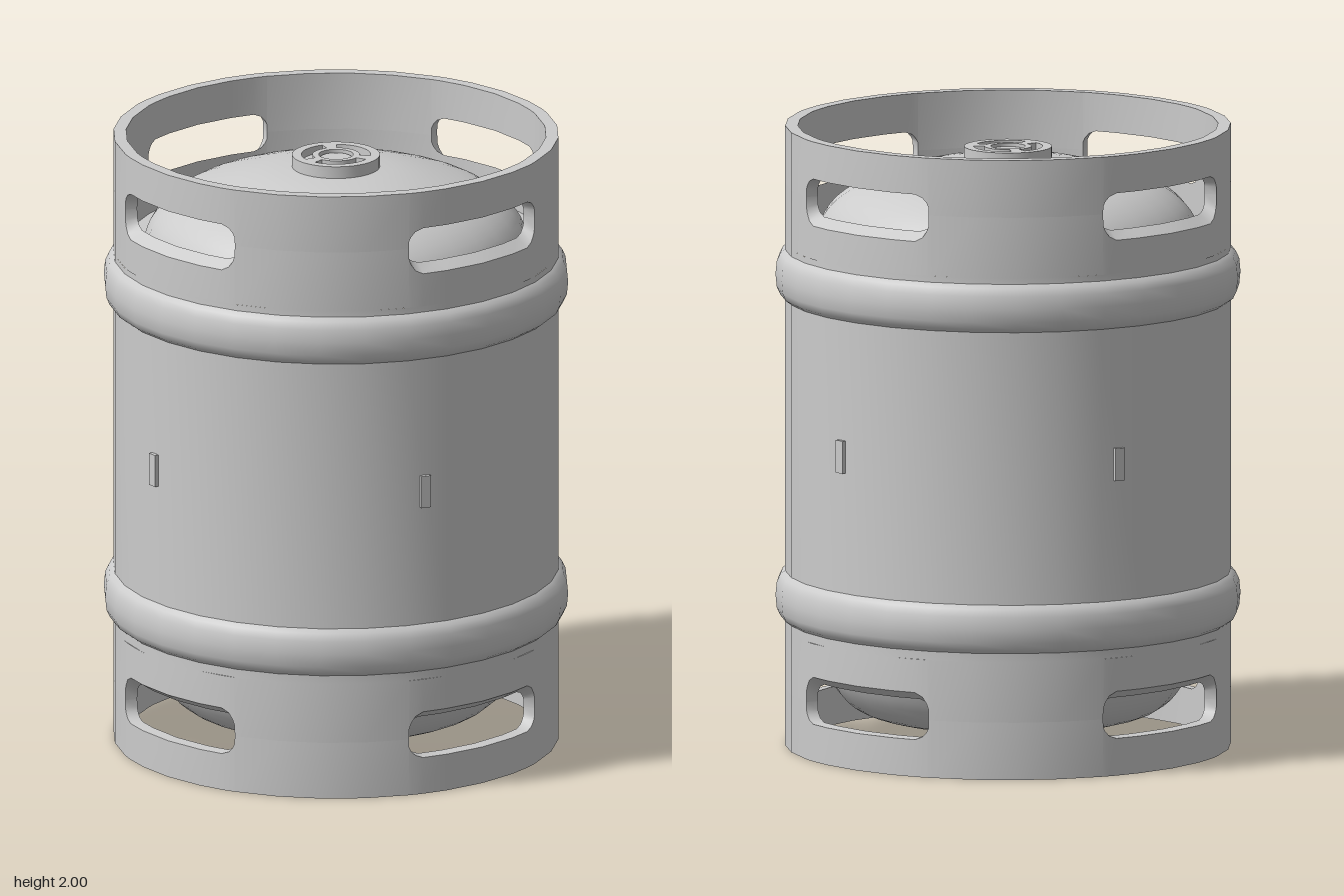
import * as THREE from 'three';
import { toCreasedNormals } from 'three/addons/utils/BufferGeometryUtils.js';

const SIDES = 32, R_OUT = 0.71, R_IN = 0.67;
const grey = new THREE.MeshStandardMaterial({ color: 0xcccccc });

function mesh(name, geometry, crease = 0.6) {
  const m = new THREE.Mesh(toCreasedNormals(geometry, crease), grey);
  m.name = name;
  return m;
}

const lathe = (points) =>
  new THREE.LatheGeometry(points.map(([r, y]) => new THREE.Vector2(r, y)), SIDES);

const smooth = (points, n) =>
  new THREE.SplineCurve(points.map(([r, y]) => new THREE.Vector2(r, y)))
    .getPoints(n).map((p) => [Math.max(0, p.x), p.y]);

// Sweeps closed four-point (radius, height) sections round the vertical axis
function sweep(columns) {
  const pos = [], index = [];
  columns.forEach(({ angle, section }) => section.forEach(([r, y]) =>
    pos.push(r * Math.sin(angle), y, r * Math.cos(angle))));
  for (let i = 0; i < columns.length - 1; i++) {
    for (let j = 0; j < 4; j++) {
      const k = (j + 1) % 4;
      const a = i * 4 + j, b = a + 4, c = i * 4 + 4 + k, d = i * 4 + k;
      index.push(a, b, c, a, c, d);
    }
  }
  const g = new THREE.BufferGeometry();
  g.setAttribute('position', new THREE.Float32BufferAttribute(pos, 3));
  g.setIndex(index);
  return g;
}

// Collar with four handle slots, made of a band above and a band below the slots
function collar(name) {
  const half = [[0.383, 0], [0.382, 0.4], [0.372, 0.62], [0.352, 0.85], [0.315, 1], [0.196, 1]];
  const quarter = [
    [-Math.PI / 4, 0], [-Math.PI * 3 / 16, 0],
    ...half.map(([a, t]) => [-a, t]), [0, 1],
    ...half.map(([a, t]) => [a, t]).reverse(), [Math.PI * 3 / 16, 0],
  ];
  const stations = [];
  for (let q = 0; q < 4; q++) {
    quarter.forEach(([a, t]) => stations.push([a + q * Math.PI / 2, t]));
  }
  stations.push([Math.PI * 7 / 4, 0]);

  const mid = 1.815, top = 2, bottom = 1.62;
  const upper = stations.map(([angle, t]) => ({
    angle,
    section: [[R_OUT, mid + 0.065 * t], [R_OUT, top], [R_IN, top], [R_IN, mid + 0.062 * t]],
  }));
  // the slot's long edge slopes outward
  const lower = stations.map(([angle, t]) => ({
    angle,
    section: [[R_OUT, bottom], [R_OUT, mid - 0.087 * t], [R_IN, mid - 0.06 * t], [R_IN, bottom]],
  }));
  const g = new THREE.Group();
  g.name = name;
  g.add(mesh('rimBand', sweep(upper)), mesh('shoulderBand', sweep(lower)));
  return g;
}

// Valve fitting: a plate with three curved openings, a floor and a centre plug
function valve() {
  const g = new THREE.Group();
  g.name = 'valve';
  const plate = new THREE.Shape().absarc(0, 0, 0.14, 0, Math.PI * 2);
  for (let i = 0; i < 3; i++) {
    const c = Math.PI / 2 + i * Math.PI * 2 / 3, w = 0.84;
    const slot = new THREE.Path();
    slot.absarc(0, 0, 0.11, c - w, c + w, false);
    slot.absarc(0, 0, 0.075, c + w, c - w, true);
    slot.closePath();
    plate.holes.push(slot);
  }
  plate.holes.push(new THREE.Path().absarc(0, 0, 0.055, 0, Math.PI * 2));
  const plateGeo = new THREE.ExtrudeGeometry(plate, { depth: 0.05, bevelEnabled: false, curveSegments: 20 });
  plateGeo.rotateX(-Math.PI / 2).translate(0, 1.88, 0);
  g.add(mesh('valvePlate', plateGeo));
  const floor = new THREE.CylinderGeometry(0.13, 0.13, 0.03, SIDES).translate(0, 1.89, 0);
  g.add(mesh('valveFloor', floor));
  const plug = new THREE.CylinderGeometry(0.05, 0.05, 0.04, SIDES).translate(0, 1.9, 0);
  g.add(mesh('valvePlug', plug));
  return g;
}

export function createModel() {
  const model = new THREE.Group();
  model.name = 'keg';

  // Shell with two rolling ridges
  const ridge = (y) => [
    [R_OUT, y - 0.078], [0.726, y - 0.066], [0.737, y - 0.042], [0.741, y],
    [0.737, y + 0.042], [0.726, y + 0.066], [R_OUT, y + 0.078],
  ];
  model.add(mesh('shell', lathe([[R_OUT, 0.38], ...ridge(0.486), ...ridge(1.522), [R_OUT, 1.62]]), 0.7));

  // Slotted collars; the lower one is the upper one turned over
  const topCollar = collar('topCollar');
  const bottomCollar = collar('bottomCollar');
  bottomCollar.rotation.z = Math.PI;
  bottomCollar.position.y = 2;
  model.add(topCollar, bottomCollar);

  // Domed ends, each set in a flat ring
  const topDome = smooth([[0.615, 1.64], [0.585, 1.715], [0.52, 1.78], [0.42, 1.828], [0.22, 1.882], [0, 1.9]], 18);
  model.add(mesh('topDome', lathe([[R_IN + 0.01, 1.64], ...topDome])));
  const bottomDome = smooth([[0, 0.07], [0.22, 0.077], [0.42, 0.1], [0.52, 0.15], [0.585, 0.25], [0.615, 0.36]], 18);
  model.add(mesh('bottomDome', lathe([...bottomDome, [R_IN + 0.01, 0.36]])));

  model.add(valve());

  // Small raised tabs round the middle
  [-5.6, 72.5, 174.4, 252.5].forEach((deg) => {
    const a = THREE.MathUtils.degToRad(deg);
    const tab = mesh('sideTab', new THREE.BoxGeometry(0.033, 0.105, 0.03));
    tab.position.set(0.705 * Math.sin(a), 1.005, 0.705 * Math.cos(a));
    tab.rotation.y = a;
    model.add(tab);
  });

  return model;
}
